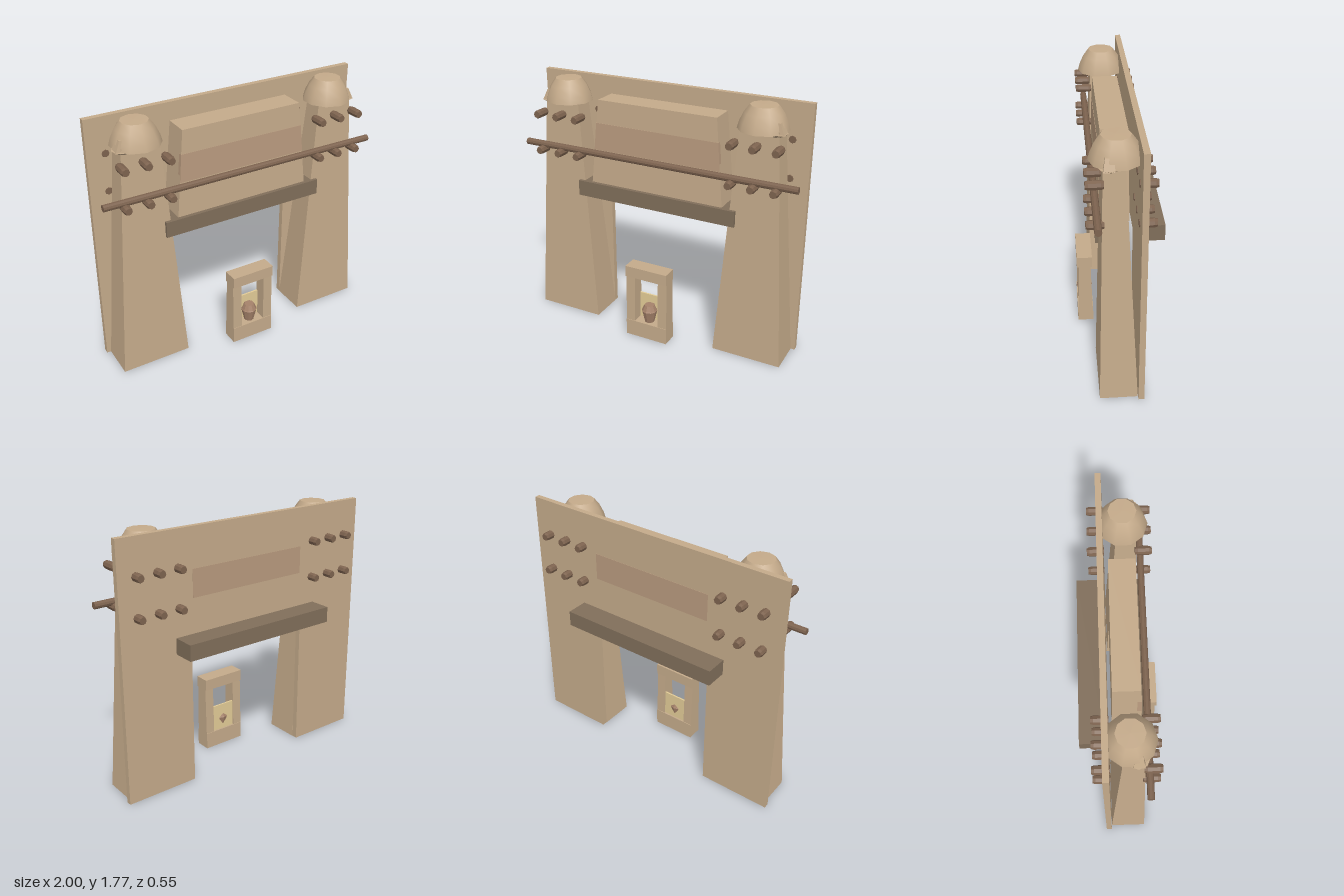
import * as THREE from 'three';

const paint = (color, extra = {}) => new THREE.MeshStandardMaterial({ color, ...extra });
const stone = paint(0xc4aa8a);
const darkStone = paint(0x806e5a);
const clay = paint(0xb89a7e);
const wood = paint(0x7d634f, { flatShading: true });
const cream = paint(0xe2cb96);
const pottery = paint(0xa5826a, { flatShading: true });
const bowlClay = paint(0xc4aa8a, { side: THREE.DoubleSide });

function add(parent, name, geometry, material, x = 0, y = 0, z = 0) {
  const mesh = new THREE.Mesh(geometry, material);
  mesh.name = name;
  mesh.position.set(x, y, z);
  parent.add(mesh);
  return mesh;
}

// Box given by its limits on each axis
function block(parent, name, material, [x0, x1], [y0, y1], [z0, z1]) {
  return add(parent, name, new THREE.BoxGeometry(x1 - x0, y1 - y0, z1 - z0), material,
    (x0 + x1) / 2, (y0 + y1) / 2, (z0 + z1) / 2);
}

// Tapered box: lo and hi are [x0, x1, z0, z1] at heights y0 and y1
function taper(parent, name, material, y0, y1, lo, hi) {
  const g = new THREE.BoxGeometry(1, 1, 1);
  const p = g.attributes.position;
  for (let i = 0; i < p.count; i++) {
    const r = p.getY(i) > 0 ? hi : lo;
    p.setXYZ(i, p.getX(i) > 0 ? r[1] : r[0], p.getY(i) > 0 ? y1 : y0, p.getZ(i) > 0 ? r[3] : r[2]);
  }
  g.computeVertexNormals();
  return add(parent, name, g, material);
}

const lathe = (pts, sides) => new THREE.LatheGeometry(pts.map(([x, y]) => new THREE.Vector2(x, y)), sides);

export function createModel() {
  const model = new THREE.Group();
  model.name = 'gateway';

  // Back wall with the doorway cut out
  const outline = new THREE.Shape([
    [-0.985, 0], [-0.47, 0], [-0.47, 0.98], [0.47, 0.98], [0.47, 0],
    [0.985, 0], [0.985, 1.77], [-0.985, 1.77],
  ].map(([x, y]) => new THREE.Vector2(x, y)));
  add(model, 'wall', new THREE.ExtrudeGeometry(outline, { depth: 0.038, bevelEnabled: false }), stone, 0, 0, -0.12);

  // Lintels before and behind the wall
  block(model, 'frontLintel', darkStone, [-0.588, 0.588], [0.96, 1.07], [-0.035, 0.163]);
  block(model, 'backLintel', darkStone, [-0.588, 0.588], [0.96, 1.07], [-0.275, -0.1]);

  // Sloping block over the doorway, with clay panels on both faces
  taper(model, 'upperBlock', stone, 1.05, 1.66, [-0.492, 0.492, -0.06, 0.137], [-0.432, 0.432, -0.052, 0.12]);
  taper(model, 'frontPanel', clay, 1.31, 1.5, [-0.466, 0.466, 0.1, 0.132], [-0.449, 0.449, 0.1, 0.127]);
  block(model, 'backPanel', clay, [-0.452, 0.452], [1.31, 1.5], [-0.122, -0.1]);

  // Long pole across the front
  const pole = add(model, 'pole', new THREE.CylinderGeometry(0.023, 0.023, 2, 10), wood, 0, 1.297, 0.165);
  pole.rotation.z = Math.PI / 2;

  const peg = lathe([[0, -0.054], [0.024, -0.054], [0.029, -0.036], [0.029, 0.036], [0.024, 0.054], [0, 0.054]], 8);
  const bowl = lathe([[0, 0], [0.164, 0], [0.164, 0], [0.152, 0.045], [0.125, 0.105], [0.09, 0.153], [0.09, 0.153], [0, 0.155]], 10);

  for (const side of [-1, 1]) {
    const tower = new THREE.Group();
    tower.name = side > 0 ? 'leftTower' : 'rightTower';
    model.add(tower);
    const span = (a, b) => (side > 0 ? [a, b] : [-b, -a]);

    // Tapering tower body
    taper(tower, 'towerBody', stone, 0, 1.63,
      [...span(0.468, 0.957), -0.08, 0.165], [...span(0.588, 0.842), 0.0, 0.128]);

    // Upturned bowl on top, with a small lug on the outer side
    add(tower, 'bowl', bowl, bowlClay, side * 0.71, 1.61, 0.044);
    add(tower, 'lugSkirt', new THREE.CylinderGeometry(0.07, 0.045, 0.018, 8), stone, side * 0.815, 1.603, 0.088);
    taper(tower, 'lug', stone, 1.605, 1.68,
      [...span(0.8, 0.875), 0.058, 0.128], [...span(0.8, 0.842), 0.066, 0.115]);

    // Two rows of pegs in front and behind
    for (const x of [0.56, 0.71, 0.86]) {
      for (const y of [1.265, 1.525]) {
        for (const [name, z] of [['frontPeg', 0.177], ['backPeg', -0.131]]) {
          add(tower, name, peg, wood, side * x, y, z).rotation.x = Math.PI / 2;
        }
      }
    }
  }

  // Small shrine frame standing in the doorway
  const shrine = new THREE.Group();
  shrine.name = 'shrine';
  model.add(shrine);
  block(shrine, 'shrineBase', stone, [-0.158, 0.158], [0, 0.12], [0.165, 0.275]);
  block(shrine, 'shrineTop', stone, [-0.158, 0.158], [0.47, 0.55], [0.167, 0.275]);
  for (const [a, b] of [[-0.158, -0.09], [0.09, 0.158]]) {
    taper(shrine, 'shrinePost', stone, 0.12, 0.47, [a, b, 0.169, 0.271], [a, b, 0.178, 0.264]);
  }
  block(shrine, 'backPane', cream, [-0.09, 0.09], [0.12, 0.315], [0.178, 0.19]);

  // Pot inside the shrine
  add(shrine, 'pot', lathe([[0, 0.118], [0.034, 0.118], [0.051, 0.19], [0.056, 0.21], [0.052, 0.216], [0.035, 0.253], [0, 0.253]], 10),
    pottery, 0, 0, 0.22);

  return model;
}
